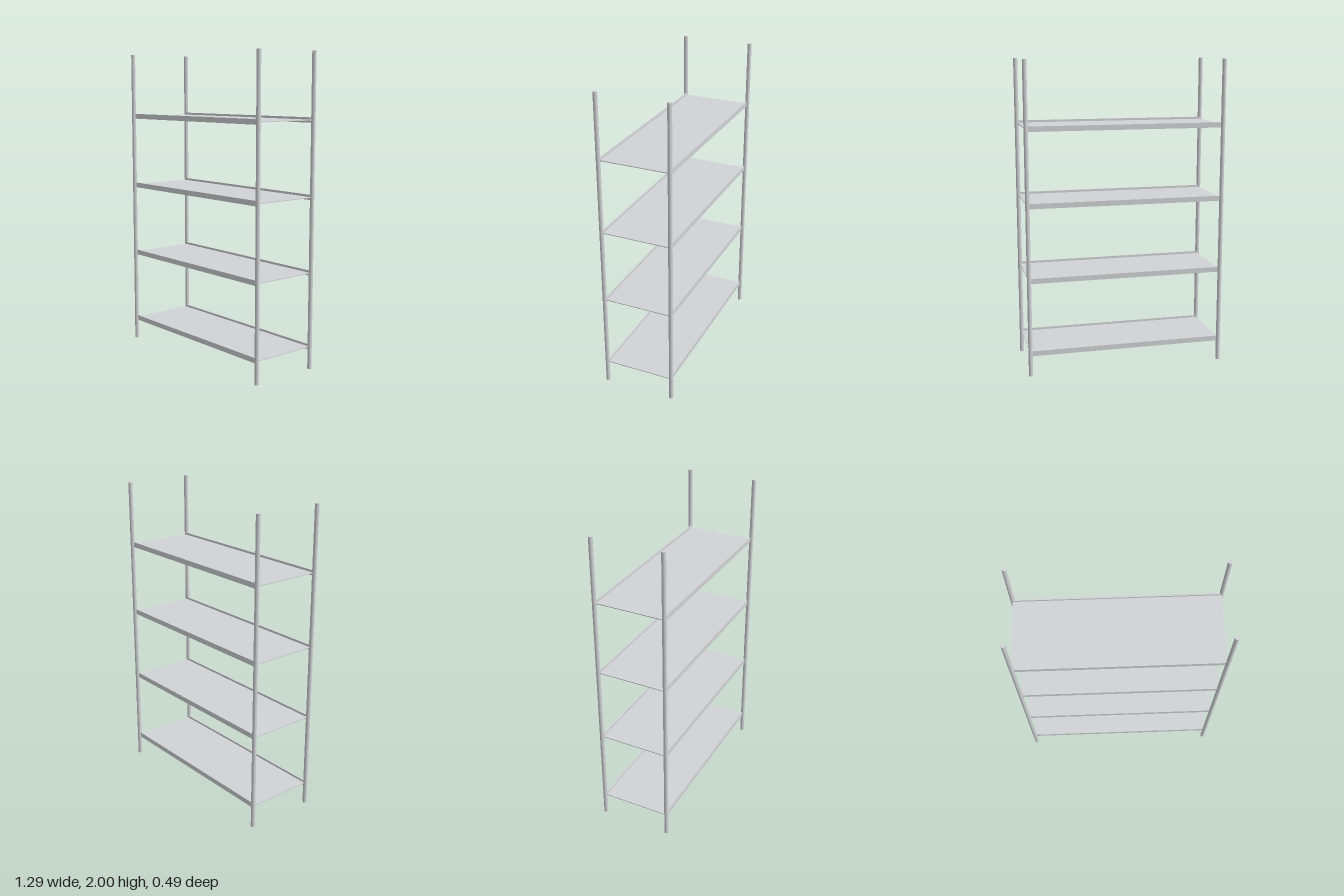
import * as THREE from 'three';

export function createModel() {
  const model = new THREE.Group();
  const metal = new THREE.MeshStandardMaterial({ color: 0xd2d3d6 });
  metal.name = 'light grey metal';

  const postX = 0.634, postZ = 0.229, postRadius = 0.0135;
  const add = (parent, name, geometry, x, y, z) => {
    const mesh = new THREE.Mesh(geometry, metal);
    mesh.name = name;
    mesh.position.set(x, y, z);
    parent.add(mesh);
  };

  // Four full-height round corner posts
  const post = new THREE.CylinderGeometry(postRadius, postRadius, 2, 16);
  for (const [sideName, sx] of [['left', 1], ['right', -1]])
    for (const [endName, sz] of [['Front', 1], ['Back', -1]])
      add(model, `${sideName}${endName}Post`, post, sx * postX, 1, sz * postZ);

  // Shelves: a thin board with a lip rail along each long edge
  const board = new THREE.BoxGeometry(2 * postX, 0.005, 0.45);
  const rail = new THREE.BoxGeometry(2 * postX, 0.033, 0.01);
  [0.146, 0.625, 1.104, 1.582].forEach((y, i) => {
    const shelf = new THREE.Group();
    shelf.name = `shelf${i + 1}`;
    shelf.position.y = y;
    add(shelf, 'board', board, 0, 0, 0);
    add(shelf, 'frontRail', rail, 0, 0, 0.222);
    add(shelf, 'backRail', rail, 0, 0, -0.222);
    model.add(shelf);
  });

  return model;
}
